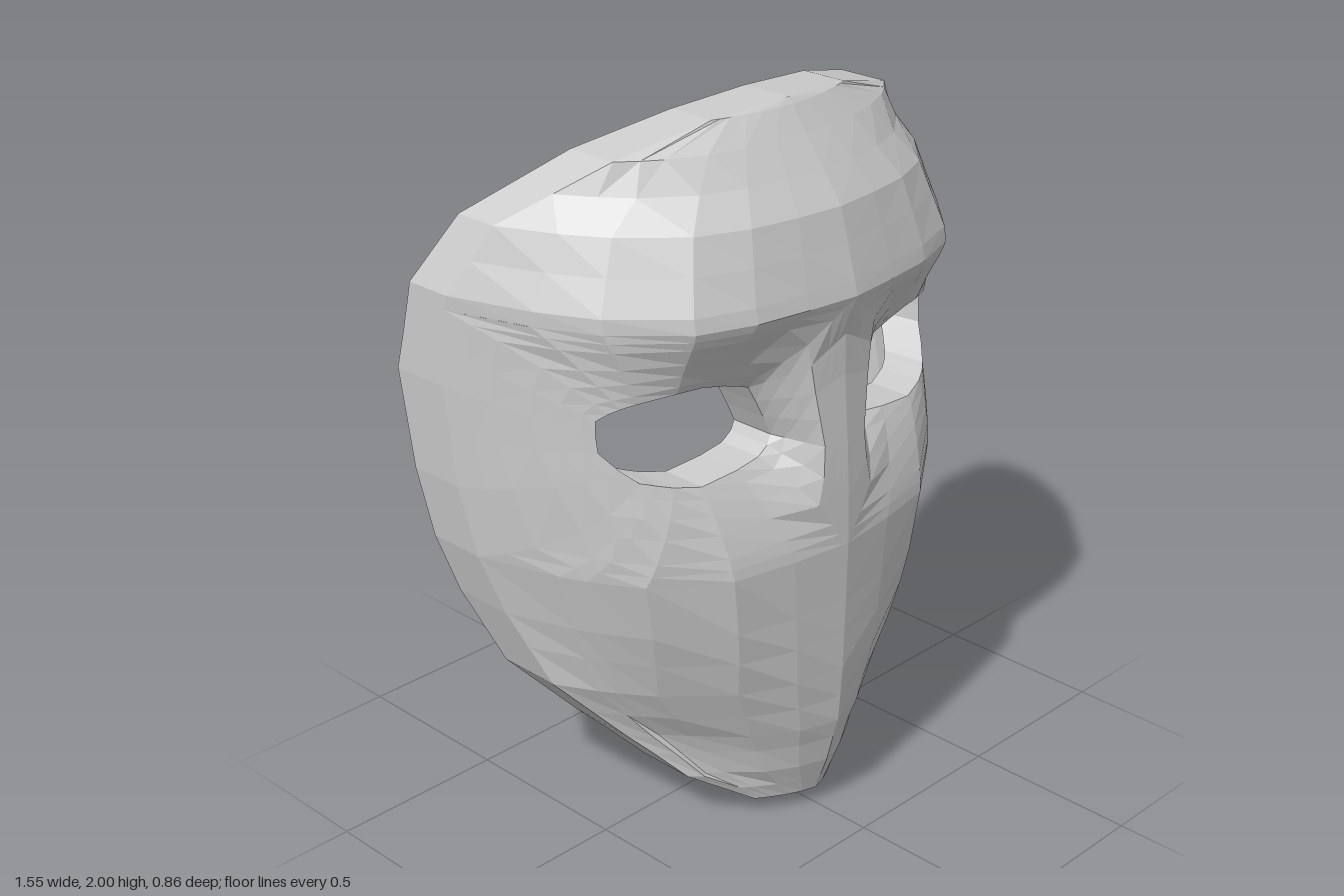
import * as THREE from 'three';

// Cross-sections: height, half width, centre z, front rim z, back rim z, roundness
const SECTIONS = [
  [0, 0, 0.25, 0.25, 0.09, 1.5],
  [0.05, 0.16, 0.32, 0.24, 0.06, 1.5],
  [0.16, 0.33, 0.36, 0.15, -0.02, 1.6],
  [0.24, 0.4, 0.38, 0.09, -0.1, 1.7],
  [0.3, 0.455, 0.397, 0.04, -0.16, 1.9],
  [0.47, 0.6, 0.41, -0.08, -0.27, 2.7],
  [0.68, 0.675, 0.415, -0.17, -0.355, 4.3],
  [0.85, 0.725, 0.42, -0.21, -0.385, 5],
  [1.05, 0.755, 0.415, -0.24, -0.41, 5.2],
  [1.33, 0.775, 0.395, -0.25, -0.43, 5],
  [1.43, 0.775, 0.395, -0.24, -0.4, 5],
  [1.54, 0.775, 0.43, -0.23, -0.37, 5],
  [1.58, 0.775, 0.42, -0.22, -0.36, 5],
  [1.76, 0.69, 0.37, -0.13, -0.26, 4],
  [1.92, 0.49, 0.25, 0.08, -0.07, 3],
  [1.985, 0.24, 0.205, 0.16, 0.02, 2],
  [2, 0, 0.19, 0.19, 0.04, 2],
];

// Pairs around one eye: eye edge x, y, then the matching border point x, y
const EYE_TO_BORDER = [
  [0.15, 1.165, 0, 1.12], [0.175, 1.22, 0, 1.22], [0.2, 1.27, 0, 1.32],
  [0.225, 1.315, 0, 1.43], [0.25, 1.325, 0, 1.54], [0.31, 1.345, 0.155, 1.54],
  [0.38, 1.36, 0.31, 1.54], [0.45, 1.36, 0.465, 1.54], [0.54, 1.345, 0.62, 1.54],
  [0.57, 1.333, 0.7, 1.54], [0.59, 1.32, 0.775, 1.54], [0.61, 1.3, 0.775, 1.43],
  [0.61, 1.26, 0.775, 1.33], [0.607, 1.215, 0.766, 1.2], [0.575, 1.17, 0.755, 1.05],
  [0.54, 1.135, 0.725, 0.85], [0.52, 1.13, 0.6525, 0.85], [0.505, 1.125, 0.6235, 0.85],
  [0.47, 1.115, 0.5437, 0.85], [0.396, 1.1, 0.3625, 0.85], [0.28, 1.11, 0.1813, 0.85],
  [0.2, 1.12, 0, 0.85], [0.165, 1.14, 0, 0.98],
];
const RINGS = [0, 0.12, 0.3, 0.5, 0.75, 0.88, 1];

function sectionAt(y) {
  let i = 0;
  while (i < SECTIONS.length - 2 && y > SECTIONS[i + 1][0]) i++;
  const a = SECTIONS[i], b = SECTIONS[i + 1];
  const t = THREE.MathUtils.clamp((y - a[0]) / (b[0] - a[0]), 0, 1);
  const [, width, front, rim, back, power] = a.map((v, k) => THREE.MathUtils.lerp(v, b[k], t));
  return { width, front, rim, back, power };
}

const across = (x, y) => Math.min(1, x / Math.max(sectionAt(y).width, 1e-4));

// Face surface: slight centre ridge, then curving back to the rim
function surfacePoint(x, y, recess = 0) {
  const s = sectionAt(y), u = across(x, y);
  const z = s.front - (s.front - s.rim) * (0.14 * u + 0.86 * u ** s.power);
  return new THREE.Vector3(x, y, z - recess);
}

// Inner skin: set back in z and drawn in towards the rim
function insidePoint(p, thickness) {
  const u = across(p.x, p.y), h = p.y - 1;
  return new THREE.Vector3(p.x * (1 - 0.08 * u ** 4), 1 + h * (1 - 0.05 * h * h), p.z - thickness);
}

// Mirrored sheet of quads through rows of points
function sheet(name, patches, material) {
  const pos = [];
  for (const { rows, closed, flip } of patches) {
    for (let i = 0; i < rows.length - 1; i++) {
      const n = rows[i].length;
      for (let j = 0; j < (closed ? n : n - 1); j++) {
        const k = (j + 1) % n;
        const a = rows[i][j], b = rows[i][k], c = rows[i + 1][k], d = rows[i + 1][j];
        for (const side of [1, -1]) {
          const quad = (side > 0) !== !!flip ? [a, b, c, a, c, d] : [a, c, b, a, d, c];
          for (const p of quad) pos.push(side * p.x, p.y, p.z);
        }
      }
    }
  }
  const geometry = new THREE.BufferGeometry();
  geometry.setAttribute('position', new THREE.Float32BufferAttribute(pos, 3));
  geometry.computeVertexNormals();
  const mesh = new THREE.Mesh(geometry, material);
  mesh.name = name;
  return mesh;
}

export function createModel() {
  const group = new THREE.Group();
  group.name = 'mask';
  const material = new THREE.MeshStandardMaterial({
    color: 0xcccccc, flatShading: true, side: THREE.DoubleSide,
  });

  // Eye band: rings spreading from the sunken eye edge, steeply up to the broad
  // nose bridge and gently to the brow, rim and cheek
  const eyes = RINGS.map((t) => EYE_TO_BORDER.map(([ex, ey, bx, by]) => {
    const depth = THREE.MathUtils.mapLinear(ex, 0.15, 0.61, 0.11, 0.03);
    const fade = bx === 0 ? Math.max(0, 1 - t / 0.45) : (1 - t) ** 1.5;
    return surfacePoint(THREE.MathUtils.lerp(ex, bx, t), THREE.MathUtils.lerp(ey, by, t),
      depth * fade);
  }));

  // Forehead: level rows from the brow to the top
  const forehead = [1.54, 1.58, 1.67, 1.76, 1.84, 1.92, 1.985, 2].map((y) =>
    [0, 0.2, 0.4, 0.6, 0.8, 0.9, 1].map((u) => surfacePoint(u * sectionAt(y).width, y)));

  // Lower face: level rows from chin to cheek, with a shallow step beside the jaw
  const lower = [0, 0.05, 0.1, 0.16, 0.24, 0.3, 0.38, 0.47, 0.58, 0.68, 0.85].map((y) =>
    [0, 0.25, 0.5, 0.75, 0.86, 0.9, 1].map((u) => {
      const step = y > 0.12 && y < 0.32 && u > 0.7 && u < 0.88 ? 0.02 : 0;
      return surfacePoint(u * sectionAt(y).width, y, step);
    }));

  // Inner skin, thicker around the eye openings
  const inside = (row, thickness = 0.08) => row.map((p) => insidePoint(p, thickness));
  const eyesInside = eyes.map((row, i) => inside(row, 0.08 + 0.05 * (1 - RINGS[i]) ** 3));

  group.add(sheet('outerFace', [
    { rows: eyes, closed: true }, { rows: forehead }, { rows: lower },
  ], material));
  group.add(sheet('innerFace', [
    { rows: eyesInside, closed: true, flip: true },
    { rows: forehead.map((row) => inside(row)), flip: true },
    { rows: lower.map((row) => inside(row)), flip: true },
  ], material));

  // Walls of the eye openings
  group.add(sheet('eyeWalls', [
    { rows: [eyes[0], eyesInside[0]], closed: true, flip: true },
  ], material));

  // Rim: straight back from the face, then turned in to the inner skin
  const edge = SECTIONS.map(([y, w]) => surfacePoint(w, y)).reverse();
  const backEdge = edge.map((p) => new THREE.Vector3(p.x, p.y, sectionAt(p.y).back));
  group.add(sheet('rim', [{ rows: [edge, backEdge, inside(edge)] }], material));

  return group;
}
